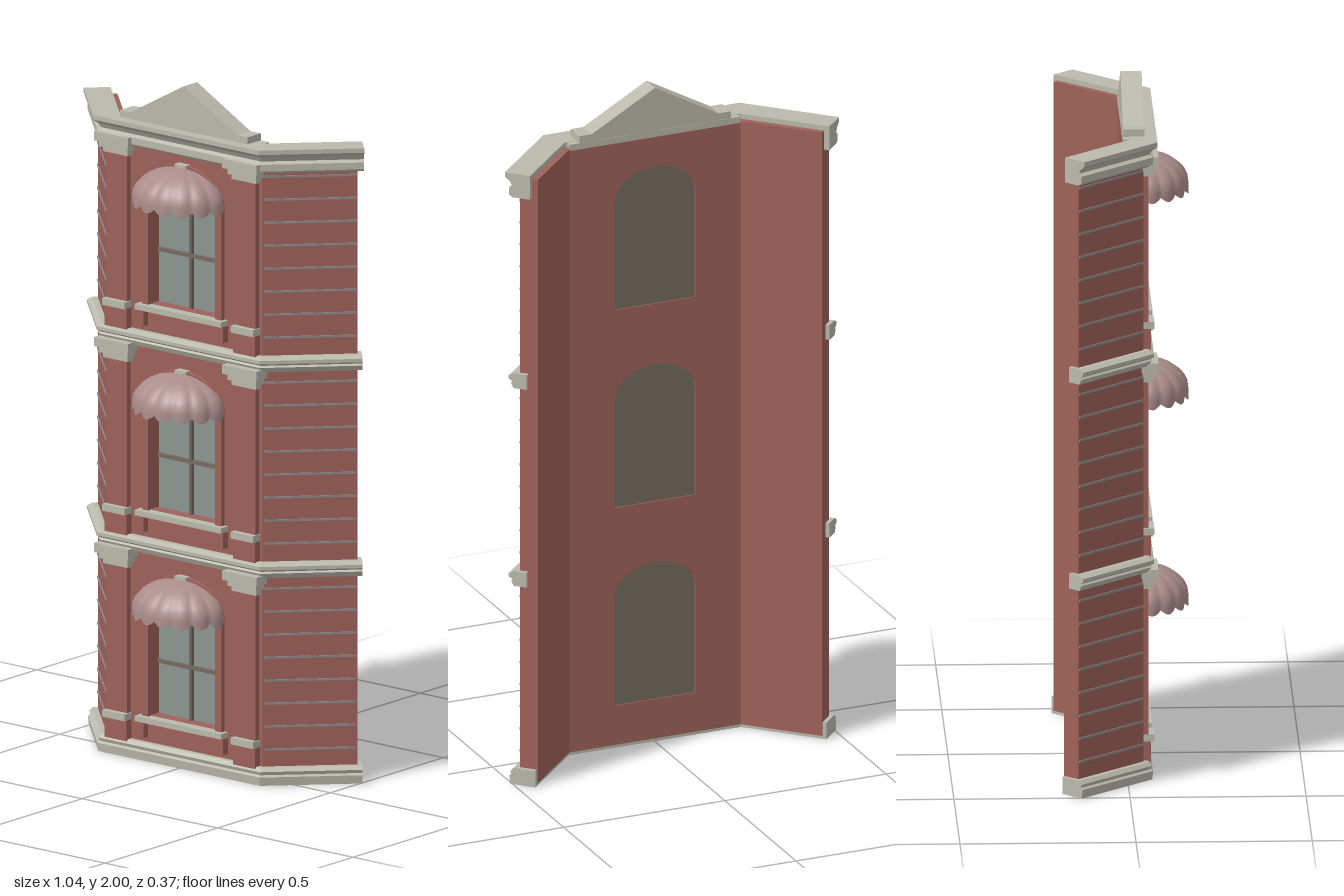
import * as THREE from 'three';

const mat = (name, color, side = THREE.FrontSide) => {
  const m = new THREE.MeshStandardMaterial({ color, side });
  m.name = name;
  return m;
};

const BACK = -0.01;      // back plane of the centre wall
const THICK = 0.055;     // wall thickness
const CORNER = 0.265;    // inner corner where the wings fold back
const PITCH = 0.605;     // storey height
const WALL_TOP = 1.855;
const Q = Math.SQRT1_2;

// Plan of the facade at distance d in front of its back face, from left end to right end
function planPath(d, extra) {
  const c = [CORNER + d * Math.tan(Math.PI / 8), BACK + d];
  const e = [0.44 + (d + extra) * Q, -0.185 + (d - extra) * Q];
  return [[-e[0], e[1]], [-c[0], c[1]], c, e];
}

// Sweeps a counter-clockwise [distance, height] profile around the facade
function sweep(profile, extra) {
  const rings = profile.map(([d, y]) => planPath(d, extra).map(([x, z]) => [x, y, z]));
  const pos = [];
  const n = profile.length;
  for (let j = 0; j < n; j++) {
    const lo = rings[j], hi = rings[(j + 1) % n];
    for (let i = 0; i < 3; i++) {
      pos.push(...lo[i], ...lo[i + 1], ...hi[i + 1], ...lo[i], ...hi[i + 1], ...hi[i]);
    }
  }
  const tris = THREE.ShapeUtils.triangulateShape(profile.map(([d, y]) => new THREE.Vector2(d, y)), []);
  for (const [a, b, c] of tris) {
    pos.push(...rings[a][0], ...rings[b][0], ...rings[c][0]);
    pos.push(...rings[a][3], ...rings[c][3], ...rings[b][3]);
  }
  const g = new THREE.BufferGeometry();
  g.setAttribute('position', new THREE.Float32BufferAttribute(pos, 3));
  g.computeVertexNormals();
  return g;
}

// Outline with a straight base and an elliptical arched head
function archPoints(w, bottom, spring, top) {
  const pts = [new THREE.Vector2(-w, bottom), new THREE.Vector2(w, bottom)];
  for (let i = 0; i <= 16; i++) {
    const a = (i / 16) * Math.PI;
    pts.push(new THREE.Vector2(w * Math.cos(a), spring + (top - spring) * Math.sin(a)));
  }
  return pts;
}

function extrude(points, holes, depth, z) {
  const s = new THREE.Shape(points);
  s.holes = holes.map((h) => new THREE.Path(h));
  return new THREE.ExtrudeGeometry(s, { depth, bevelEnabled: false }).translate(0, 0, z);
}

// Half dome of eight bulging gores with a scalloped valance
function awningGeometry() {
  const cols = 64, rows = 9;
  const g = new THREE.PlaneGeometry(1, 1, cols, rows);
  const p = g.attributes.position;
  for (let i = 0; i < p.count; i++) {
    const u = i % (cols + 1), v = Math.floor(i / (cols + 1));
    const a = Math.PI * (1 - u / cols);
    const bulge = Math.abs(Math.sin(8 * a));
    const t = Math.min(v / (rows - 1), 1) * Math.PI / 2;
    const r = Math.sin(t) * (0.96 + 0.04 * bulge);
    const drop = v === rows ? 0.012 + 0.014 * bulge : 0;
    p.setXYZ(i, 0.155 * r * Math.cos(a), 0.088 * Math.cos(t) - drop, 0.135 * r * Math.sin(a));
  }
  g.computeVertexNormals();
  return g;
}

export function createModel() {
  const root = new THREE.Group();
  root.name = 'bayFacade';
  const brick = mat('brick', 0x9e6259);
  const stone = mat('stone', 0xbab9ac);
  const mortar = mat('mortar', 0x8c8a8c);
  const glass = mat('glass', 0x8c9590);
  const frame = mat('windowFrame', 0x746a5f);
  const cloth = mat('awningCloth', 0xab8d8b, THREE.DoubleSide);

  const add = (parent, name, geo, material) => {
    const m = new THREE.Mesh(geo, material);
    m.name = name;
    parent.add(m);
    return m;
  };
  // Box given by its extents
  const box = (parent, name, x0, x1, y0, y1, z0, z1, material) => add(parent, name,
    new THREE.BoxGeometry(x1 - x0, y1 - y0, z1 - z0)
      .translate((x0 + x1) / 2, (y0 + y1) / 2, (z0 + z1) / 2), material);

  const face = BACK + THICK;
  const inner = planPath(0, 0), outer = planPath(THICK, 0);

  // Centre wall with three arched openings
  const V = (x, y) => new THREE.Vector2(x, y);
  const openings = [0, 1, 2].map((f) =>
    archPoints(0.125, 0.13 + f * PITCH, 0.46 + f * PITCH, 0.55 + f * PITCH));
  add(root, 'centreWall', extrude(
    [V(-CORNER, 0.01), V(CORNER, 0.01), V(CORNER, WALL_TOP), V(-CORNER, WALL_TOP)],
    openings, THICK, BACK), brick);

  // Angled side walls
  for (const s of [-1, 1]) {
    const plan = [inner[2], [CORNER, face], outer[2], outer[3], inner[3]];
    const g = new THREE.ExtrudeGeometry(new THREE.Shape(plan.map(([x, z]) => V(s * x, -z))),
      { depth: WALL_TOP - 0.01, bevelEnabled: false });
    add(root, s > 0 ? 'leftWing' : 'rightWing', g.rotateX(-Math.PI / 2).translate(0, 0.01, 0), brick);
  }

  // Base, storey bands and top cornice
  add(root, 'base', sweep([[0.004, 0], [0.08, 0], [0.083, 0.025], [0.076, 0.03],
    [0.08, 0.04], [0.07, 0.05], [0.004, 0.05]].map(([d, y]) => [d, y]), 0.012), stone);
  for (const y of [0.607, 0.607 + PITCH]) {
    add(root, 'storeyBand', sweep([[0.03, y], [0.07, y], [0.078, y + 0.015], [0.073, y + 0.02],
      [0.085, y + 0.027], [0.085, y + 0.037], [0.07, y + 0.045], [0.03, y + 0.045]], 0.012), stone);
  }
  add(root, 'cornice', sweep([[0.018, 1.797], [0.072, 1.797], [0.083, 1.805], [0.083, 1.825],
    [0.072, 1.832], [0.08, 1.845], [0.095, 1.857], [0.095, 1.87], [0.018, 1.87]], 0.016), stone);
  box(root, 'corniceBack', -CORNER, CORNER, 1.85, 1.869, BACK - 0.001, 0.03, stone);

  // Pediment
  box(root, 'pedimentBase', -0.235, 0.235, 1.868, 1.89, BACK, 0.05, stone);
  add(root, 'pediment', extrude([V(-0.2, 1.888), V(0.2, 1.888), V(0, 2)], [], 0.06, BACK), stone);

  const awningGeo = awningGeometry();
  for (let f = 0; f < 3; f++) {
    const floor = new THREE.Group();
    floor.name = 'storey' + (f + 1);
    floor.position.y = f * PITCH;
    root.add(floor);

    for (const s of [-1, 1]) {
      // Pilaster with pedestal, stone cap and stepped capital
      const col = new THREE.Group();
      col.name = s > 0 ? 'leftPilaster' : 'rightPilaster';
      col.position.x = s * 0.237;
      floor.add(col);
      box(col, 'shaft', -0.037, 0.037, 0.045, 0.6, 0.04, 0.06, brick);
      box(col, 'pedestal', -0.04, 0.04, 0.045, 0.106, 0.04, 0.067, brick);
      box(col, 'pedestalCap', -0.041, 0.041, 0.106, 0.126, 0.04, 0.077, stone);
      [[0.045, 0.555, 0.57, 0.068], [0.053, 0.57, 0.588, 0.077], [0.063, 0.588, 0.615, 0.088]]
        .forEach(([w, y0, y1, z]) => box(col, 'capital', -w, w, y0, y1, 0.04, z, stone));

      // Mortar courses on the wing
      const a = outer[2], b = outer[3];
      for (let k = 0; k < 8; k++) {
        const line = add(floor, 'mortarCourse',
          new THREE.BoxGeometry(Math.hypot(b[0] - a[0], b[1] - a[1]) - 0.006, 0.006, 0.006), mortar);
        line.position.set(s * (a[0] + b[0]) / 2, 0.1 + k * 0.0675, (a[1] + b[1]) / 2);
        line.rotation.y = s * Math.PI / 4;
      }
      // Bracket under the sill
      box(floor, 'sillBracket', s * 0.147 - 0.012, s * 0.147 + 0.012, 0.065, 0.114, 0.04, 0.066, brick);
    }

    // Window
    const pane = archPoints(0.124, 0.13, 0.46, 0.549);
    add(floor, 'windowBacking', extrude(pane, [], 0.008, -0.006), frame);
    add(floor, 'windowGlass', extrude(pane, [], 0.006, 0.004), glass);
    add(floor, 'windowSurround', extrude(archPoints(0.147, 0.127, 0.46, 0.56),
      [archPoints(0.124, 0.128, 0.46, 0.549)], 0.015, face - 0.001), brick);
    box(floor, 'mullion', -0.005, 0.005, 0.13, 0.545, 0.008, 0.02, frame);
    box(floor, 'transom', -0.122, 0.122, 0.28, 0.291, 0.008, 0.02, frame);
    box(floor, 'sill', -0.16, 0.16, 0.113, 0.129, 0.012, 0.076, stone);
    box(floor, 'keystone', -0.02, 0.02, 0.535, 0.562, 0.04, 0.066, stone);

    // Awning
    add(floor, 'awning', awningGeo, cloth).position.set(0, 0.465, 0.05);
  }
  return root;
}
